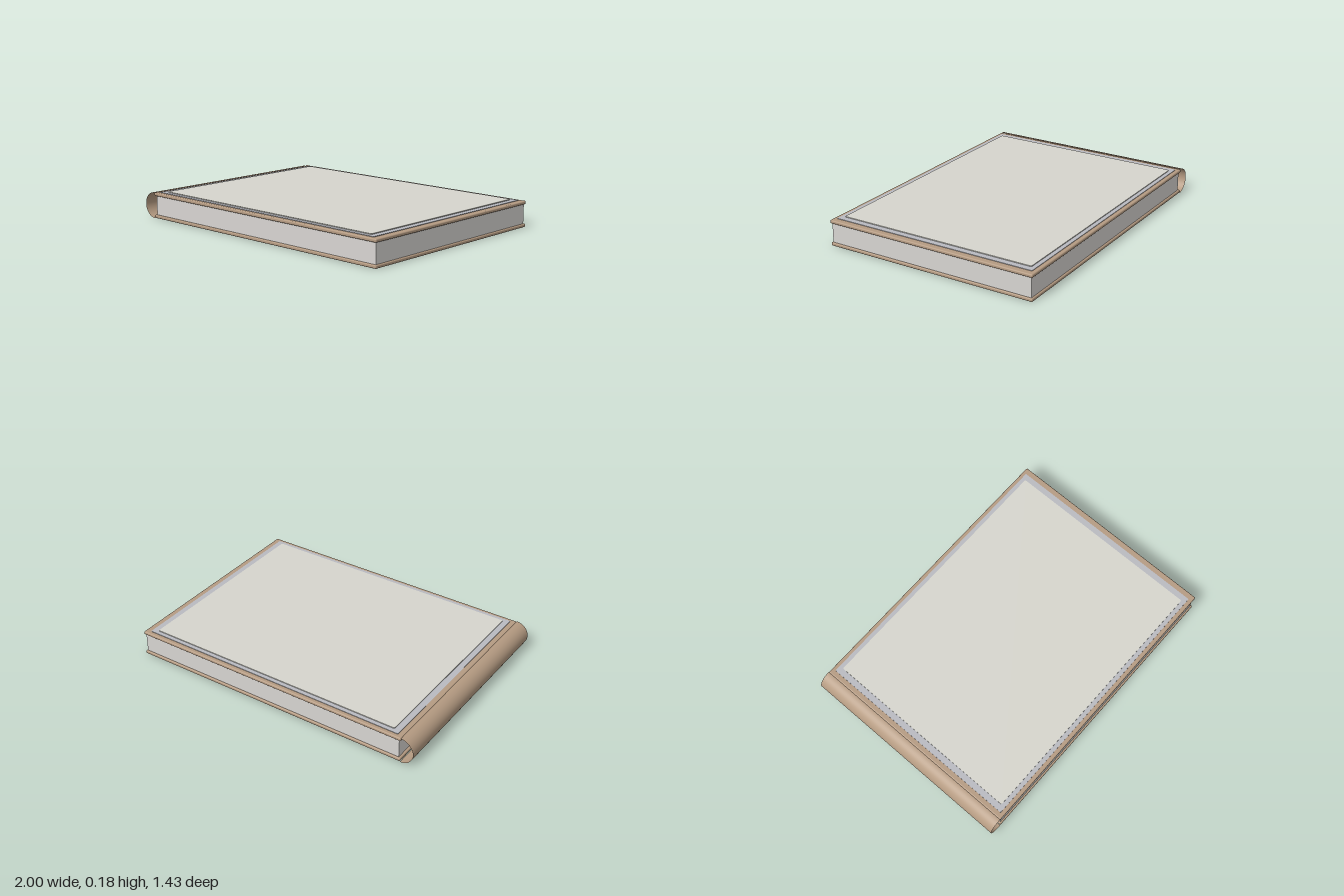
import * as THREE from 'three';
import { RoundedBoxGeometry } from 'three/addons/geometries/RoundedBoxGeometry.js';

const mat = (color, side = THREE.FrontSide) => new THREE.MeshStandardMaterial({ color, side });

export function createModel() {
  const book = new THREE.Group();
  book.name = 'book';
  const tan = 0xb59b82;

  function add(name, geometry, material) {
    const mesh = new THREE.Mesh(geometry, material);
    mesh.name = name;
    book.add(mesh);
    return mesh;
  }

  // Flat slab with softly rounded edges, given by its x, y and z limits
  function slab(name, x0, x1, y0, y1, z, color, radius) {
    const size = [x1 - x0, y1 - y0, 2 * z];
    const geometry = radius
      ? new RoundedBoxGeometry(...size, 3, radius)
      : new THREE.BoxGeometry(...size);
    add(name, geometry, mat(color)).position.set((x0 + x1) / 2, (y0 + y1) / 2, 0);
  }

  // Covers and the page block between them
  slab('backCover', -0.914, 1, 0, 0.022, 0.716, tan, 0.008);
  slab('frontCover', -0.914, 1, 0.147, 0.169, 0.716, tan, 0.008);
  slab('pages', -0.9, 0.99, 0.018, 0.151, 0.705, 0xd8d5d2);

  // Plate with rounded corners lying on the front cover
  function plate(name, x0, x1, z, y0, y1, r, color) {
    const s = new THREE.Shape();
    s.moveTo(x0 + r, -z);
    s.lineTo(x1 - r, -z).quadraticCurveTo(x1, -z, x1, -z + r);
    s.lineTo(x1, z - r).quadraticCurveTo(x1, z, x1 - r, z);
    s.lineTo(x0 + r, z).quadraticCurveTo(x0, z, x0, z - r);
    s.lineTo(x0, -z + r).quadraticCurveTo(x0, -z, x0 + r, -z);
    const g = new THREE.ExtrudeGeometry(s, { depth: y1 - y0, bevelEnabled: false, curveSegments: 4 });
    g.rotateX(-Math.PI / 2);
    add(name, g, mat(color)).position.y = y0;
  }
  plate('coverBorder', -0.88, 0.96, 0.69, 0.16, 0.172, 0.005, 0xb9bac0);
  plate('coverPanel', -0.84, 0.92, 0.662, 0.165, 0.177, 0.01, 0xd6d5cd);

  // Thin open half-round spine running along the binding edge
  const spine = new THREE.CylinderGeometry(0.0845, 0.0845, 1.432, 32, 1, true, Math.PI, Math.PI);
  spine.rotateX(Math.PI / 2);
  add('spine', spine, mat(tan, THREE.DoubleSide)).position.set(-0.9145, 0.0845, 0);

  return book;
}
